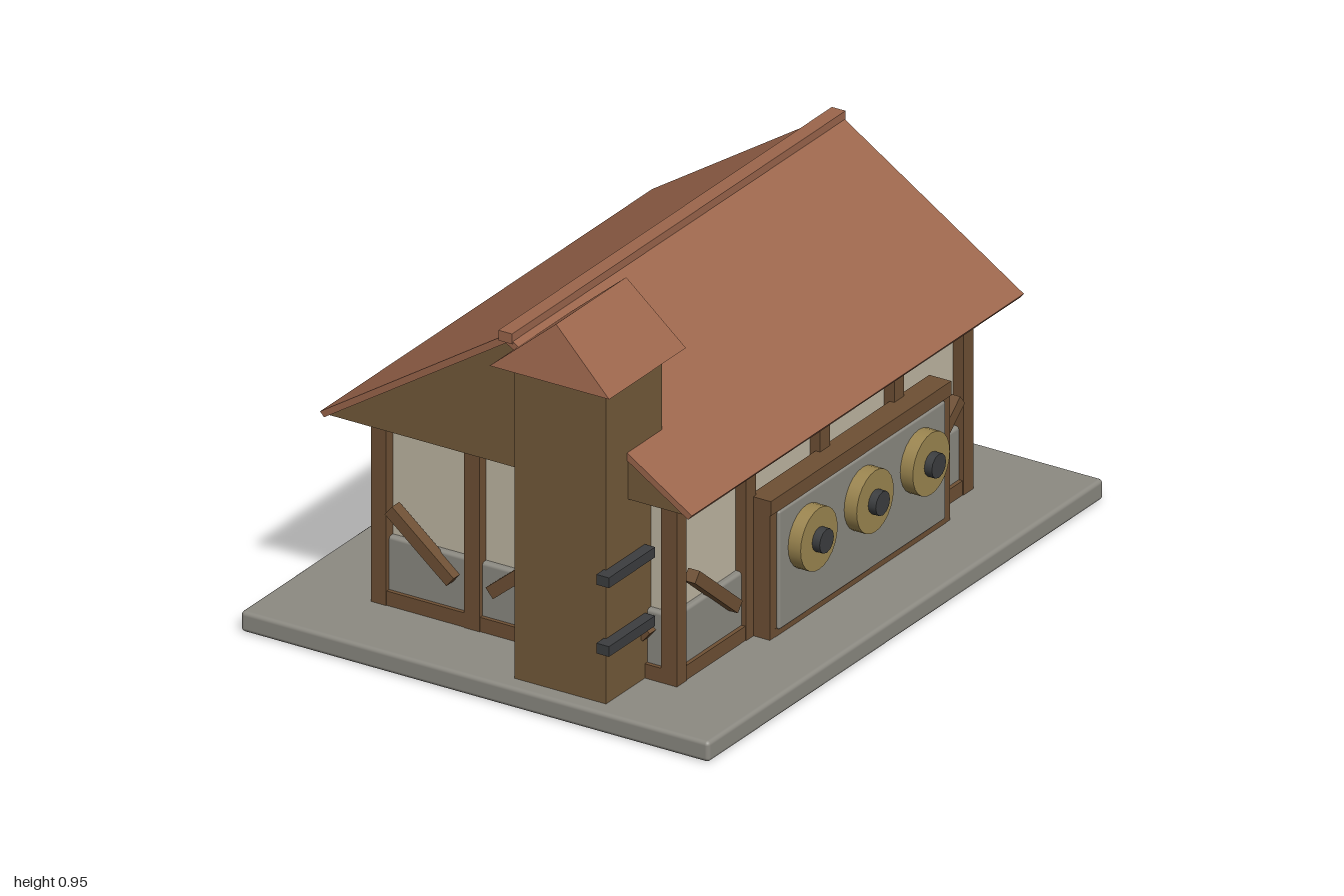
import * as THREE from 'three';
import { RoundedBoxGeometry } from 'three/addons/geometries/RoundedBoxGeometry.js';

const material = (name, color) => {
  const m = new THREE.MeshStandardMaterial({ color });
  m.name = name;
  return m;
};

export function createModel() {
  const stone = material('stone', 0x8c8a82);
  const plaster = material('plaster', 0xc0b8a4);
  const timber = material('timber', 0x6e5034);
  const plank = material('plank', 0x745a3a);
  const tile = material('roof tile', 0x9c664c);
  const brass = material('straw', 0x9c8650);
  const iron = material('iron', 0x3c3e40);

  const model = new THREE.Group();
  model.name = 'timberHouse';
  // The house stands diagonally on its lot
  const house = new THREE.Group();
  house.name = 'house';
  house.rotation.y = Math.PI / 4;
  model.add(house);

  const add = (name, geometry, mat) => {
    const mesh = new THREE.Mesh(geometry, mat);
    mesh.name = name;
    house.add(mesh);
    return mesh;
  };
  // Box given by its limits on each axis
  const box = (name, mat, [x0, x1], [y0, y1], [z0, z1], bevel = 0) => {
    const size = [x1 - x0, y1 - y0, z1 - z0];
    const g = bevel ? new RoundedBoxGeometry(...size, 2, bevel) : new THREE.BoxGeometry(...size);
    const mesh = add(name, g, mat);
    mesh.position.set((x0 + x1) / 2, (y0 + y1) / 2, (z0 + z1) / 2);
    return mesh;
  };
  // Outline in (z, y), extruded along x
  const prism = (name, mat, points, x0, x1) => {
    const shape = new THREE.Shape(points.map(([z, y]) => new THREE.Vector2(-z, y)));
    const g = new THREE.ExtrudeGeometry(shape, { depth: x1 - x0, bevelEnabled: false });
    g.rotateY(Math.PI / 2);
    g.translate(x0, 0, 0);
    return add(name, g, mat);
  };

  // Ground slab and walls
  box('groundSlab', stone, [-0.8, 0.8], [0, 0.05], [-0.615, 0.615], 0.01);
  box('stonePlinth', stone, [-0.59, 0.59], [0.045, 0.215], [-0.39, 0.39], 0.008);
  box('plasterWalls', plaster, [-0.575, 0.575], [0.2, 0.525], [-0.375, 0.375]);

  // Timber frame on the front
  for (const x of [-0.58, -0.3, 0, 0.3, 0.58]) {
    box('frontPost', timber, [x - 0.02, x + 0.02], [0.05, 0.525], [0.36, 0.402]);
  }
  box('frontSill', timber, [-0.6, 0.6], [0.05, 0.085], [0.36, 0.4]);
  box('frontRail', timber, [-0.6, 0.6], [0.495, 0.524], [0.36, 0.4]);

  // Timber frame on the chimney end
  for (const z of [-0.38, -0.135, 0.135]) {
    box('endPost', timber, [-0.602, -0.56], [0.05, 0.525], [z - 0.02, z + 0.02]);
  }
  box('endSill', timber, [-0.6, -0.56], [0.05, 0.085], [-0.4, 0.4]);
  box('endRail', timber, [-0.6, -0.56], [0.495, 0.524], [-0.4, 0.4]);

  // Diagonal braces
  const slope = Math.atan2(0.14, 0.17);
  for (const [x, dir] of [[-0.45, -1], [0.45, 1]]) {
    const brace = add('frontBrace', new THREE.BoxGeometry(0.225, 0.03, 0.03), timber);
    brace.position.set(x, 0.225, 0.4);
    brace.rotation.z = dir * slope;
  }
  for (const [z, dir] of [[-0.265, 1], [0, -1], [0.25, 1]]) {
    const brace = add('endBrace', new THREE.BoxGeometry(0.03, 0.03, 0.21), timber);
    brace.position.set(-0.6, 0.225, z);
    brace.rotation.x = dir * slope;
  }

  // Roof: planked attic, tiled covering and ridge cap
  prism('attic', plank, [[-0.472, 0.515], [0.472, 0.515], [0, 0.82]], -0.668, 0.668);
  prism('roofTiles', tile, [
    [0.488, 0.52], [0, 0.835], [-0.488, 0.52], [-0.478, 0.508], [0, 0.815], [0.478, 0.508],
  ], -0.672, 0.672);
  box('ridgeCap', tile, [-0.675, 0.675], [0.818, 0.843], [-0.018, 0.018]);

  // Chimney with a small gabled cap
  box('chimney', plank, [-0.757, -0.53], [0.05, 0.83], [0.077, 0.318]);
  const cap = prism('chimneyCap', tile, [[0.038, 0.82], [0.352, 0.82], [0.195, 0.952]], -0.797, -0.486);
  const p = cap.geometry.attributes.position;
  for (let i = 0; i < p.count; i++) {
    if (p.getY(i) > 0.9 && p.getX(i) < -0.7) p.setX(i, -0.77);
  }
  cap.geometry.computeVertexNormals();

  // Iron straps beside the chimney
  for (const y of [0.197, 0.365]) {
    box('ironStrap', iron, [-0.787, -0.6], [y - 0.0125, y + 0.0125], [0.312, 0.345]);
  }

  // Framed panel with three round targets
  for (const x of [-0.29, 0.41]) box('panelPost', timber, [x, x + 0.03], [0.05, 0.37], [0.39, 0.445]);
  box('panelBeam', timber, [-0.29, 0.44], [0.355, 0.39], [0.39, 0.448]);
  box('panelSill', timber, [-0.27, 0.42], [0.05, 0.07], [0.39, 0.446]);
  box('stonePanel', stone, [-0.262, 0.412], [0.065, 0.355], [0.39, 0.452], 0.006);
  const disc = (name, mat, radius, x, z0, z1, sides) => {
    const g = new THREE.CylinderGeometry(radius, radius, z1 - z0, sides);
    g.rotateX(Math.PI / 2);
    add(name, g, mat).position.set(x, 0.253, (z0 + z1) / 2);
  };
  for (const x of [-0.152, 0.075, 0.302]) {
    disc('targetDisc', brass, 0.075, x, 0.44, 0.485, 24);
    disc('targetHub', iron, 0.029, x, 0.47, 0.505, 12);
  }

  return model;
}
